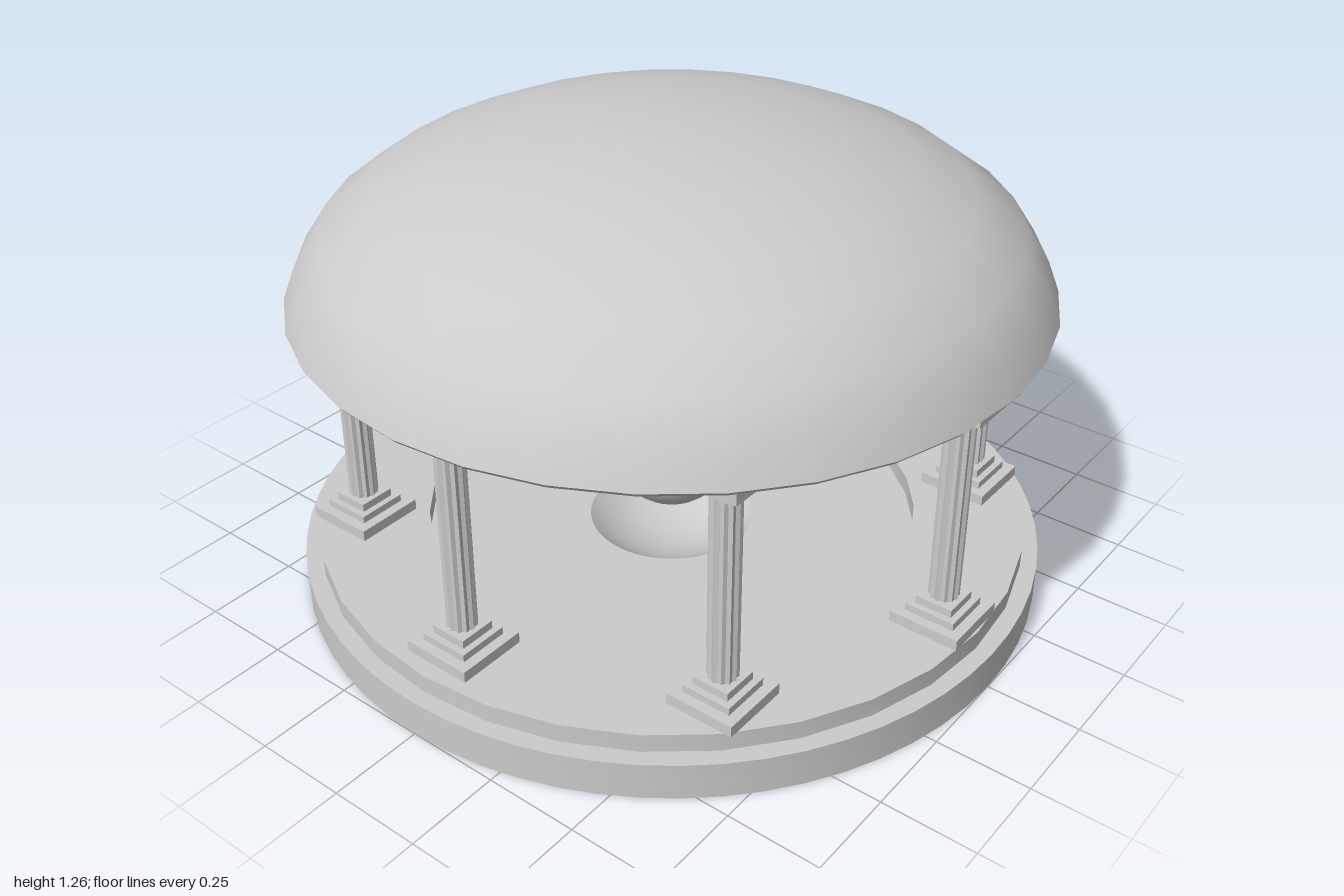
import * as THREE from 'three';
import { toCreasedNormals } from 'three/addons/utils/BufferGeometryUtils.js';

const material = new THREE.MeshStandardMaterial({ color: 0xcccccc });

function add(parent, name, geometry, y = 0) {
  const mesh = new THREE.Mesh(geometry, material);
  mesh.name = name;
  mesh.position.y = y;
  parent.add(mesh);
  return mesh;
}

// Turned part from [radius, height] pairs, outer side listed upwards
function turned(points, sides) {
  const profile = points.map(([r, y]) => new THREE.Vector2(r, y));
  return toCreasedNormals(new THREE.LatheGeometry(profile, sides), 0.5);
}

// Fluted shaft standing on y = 0
function shaftGeometry(height) {
  const shape = new THREE.Shape();
  const flutes = 12;
  for (let i = 0; i < flutes * 2; i++) {
    const a = (i / (flutes * 2)) * Math.PI * 2;
    const r = i % 2 ? 0.034 : 0.039;
    shape[i ? 'lineTo' : 'moveTo'](r * Math.cos(a), r * Math.sin(a));
  }
  shape.closePath();
  const geometry = new THREE.ExtrudeGeometry(shape, { depth: height, bevelEnabled: false });
  return geometry.rotateX(-Math.PI / 2);
}

export function createModel() {
  const model = new THREE.Group();
  model.name = 'pavilion';

  // Round base with a shallow dish in the middle of the floor
  const dish = [];
  for (let i = 0; i <= 6; i++) {
    const a = 0.78 * (1 - i / 6);
    dish.push([0.32 * Math.sin(a), 0.325 - 0.317 * Math.cos(a)]);
  }
  add(model, 'base', turned([[0, 0], [1, 0], [1, 0.1], ...dish], 64));

  // Raised ring that carries the columns
  add(model, 'step', turned(
    [[0.665, 0.1], [0.957, 0.1], [0.957, 0.15], [0.665, 0.15], [0.665, 0.1]], 32));

  // Ball floating over the dish
  add(model, 'ball', new THREE.SphereGeometry(0.17, 32, 20), 0.325);

  // Eight columns, all square to the axes
  const shaft = shaftGeometry(0.53);
  const steps = [[0.19, 0.15, 0.18], [0.135, 0.18, 0.2], [0.1, 0.2, 0.222]];
  for (let i = 0; i < 8; i++) {
    const a = (i / 8) * Math.PI * 2;
    const column = new THREE.Group();
    column.name = 'column';
    column.position.set(0.855 * Math.sin(a), 0, 0.818 * Math.cos(a));
    add(column, 'shaft', shaft, 0.218);
    for (const [width, low, high] of steps) {
      const slab = new THREE.BoxGeometry(width, high - low, width);
      const middle = (low + high) / 2;
      add(column, 'plinth', slab, middle);
      add(column, 'capital', slab, 0.967 - middle);
    }
    model.add(column);
  }

  // Dome with a flat underside ring and a hollow ceiling
  add(model, 'dome', turned([
    [0, 1.2], [0.16, 1.193], [0.32, 1.165], [0.47, 1.115], [0.58, 1.04], [0.64, 0.97],
    [0.665, 0.9], [0.665, 0.817], [0.97, 0.817], [0.98, 0.829], [0.948, 0.91],
    [0.885, 1.005], [0.76, 1.097], [0.61, 1.165], [0.42, 1.22], [0.21, 1.25], [0, 1.26],
  ], 32));

  return model;
}
